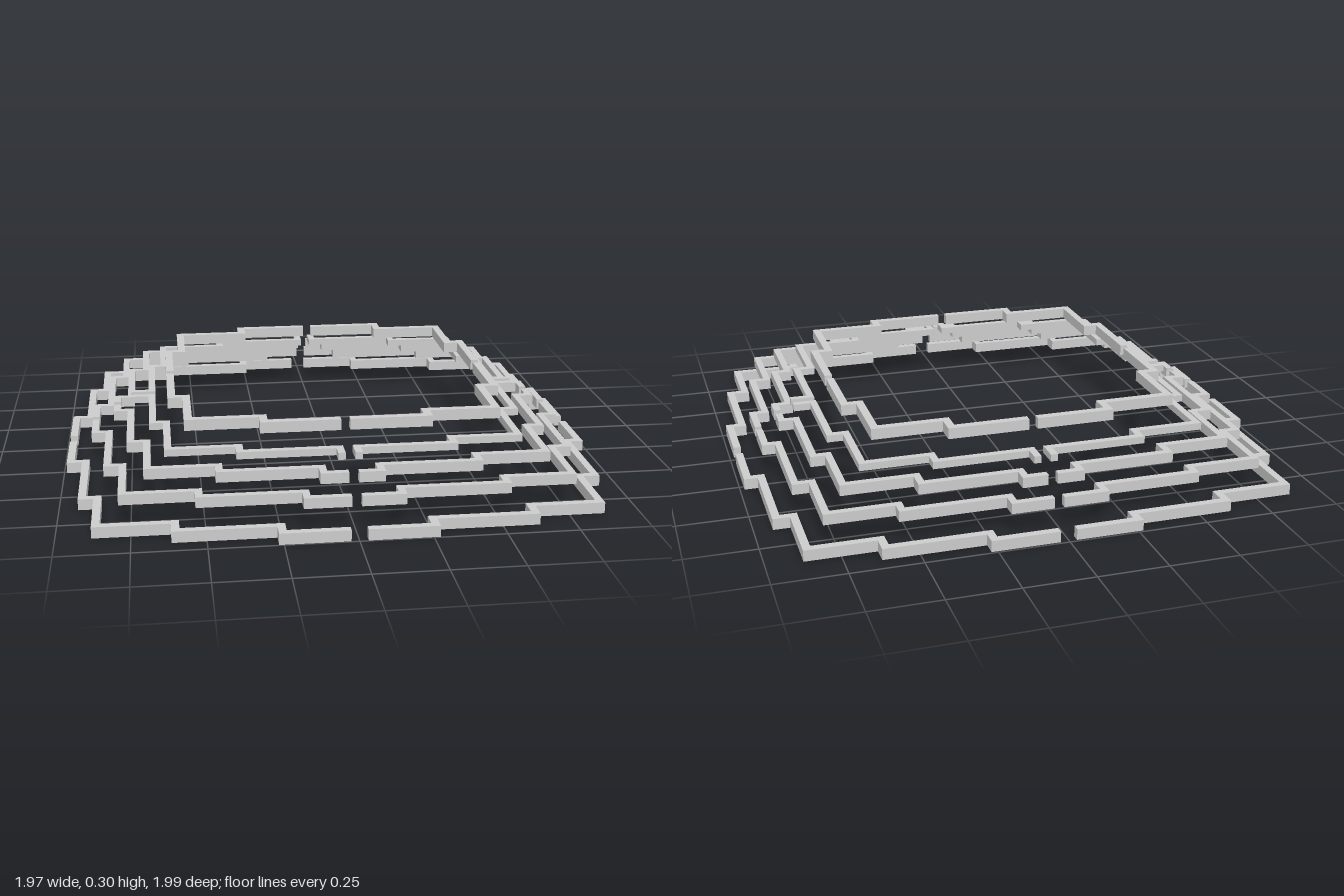
import * as THREE from 'three';

// Each tier is a square ring of stepped bars, split into four corner pieces.
// right/left list the step positions from the middle gap out to the side,
// front/back list them from the outer edge in to the side gap.
const TIERS = [
  { name: 'baseTier', y: 0, h: 0.04, w: 0.028,
    right: [0.03, 0.272, 0.628, 0.875, 0.935, 0.984],
    left: [0.027, 0.267, 0.617, 0.88, 0.934, 0.99],
    front: [0.997, 0.938, 0.87, 0.622, 0.26, 0.025],
    back: [0.993, 0.943, 0.88, 0.625, 0.275, 0.035] },
  { name: 'secondTier', y: 0.083, h: 0.038, w: 0.026,
    right: [0.022, 0.175, 0.548, 0.793, 0.852, 0.9],
    left: [0.012, 0.175, 0.533, 0.79, 0.845, 0.898],
    front: [0.903, 0.85, 0.795, 0.526, 0.168, 0.01],
    back: [0.906, 0.853, 0.805, 0.545, 0.175, 0.02] },
  { name: 'thirdTier', y: 0.14, h: 0.038, w: 0.026,
    right: [0.022, 0.114, 0.464, 0.718, 0.77, 0.824],
    left: [0.012, 0.11, 0.46, 0.703, 0.762, 0.814],
    front: [0.83, 0.774, 0.716, 0.446, 0.09, 0.012],
    back: [0.838, 0.785, 0.72, 0.458, 0.1, 0.02] },
  { name: 'fourthTier', y: 0.19, h: 0.026, w: 0.026,
    right: [0.022, 0.048, 0.392, 0.636, 0.694, 0.757],
    left: [0.012, 0.038, 0.384, 0.63, 0.68, 0.748],
    front: [0.74, 0.693, 0.637, 0.355, 0.038, 0.012],
    back: [0.762, 0.707, 0.65, 0.375, 0.046, 0.02] },
  { name: 'topTier', y: 0.257, h: 0.04, w: 0.029,
    right: [0.02, 0.314, 0.57, 0.625],
    left: [0.012, 0.296, 0.557, 0.61],
    front: [0.625, 0.568, 0.314, 0.012],
    back: [0.623, 0.552, 0.305, 0.02] },
];

// Stepped outline of one corner piece: outer edge, then the inset edge back
function cornerShape(xs, zs, sx, sz, w) {
  const outer = [];
  xs.forEach((x, i) => {
    if (i > 0) outer.push([x, zs[i - 1]]);
    outer.push([x, zs[i]]);
  });
  const last = outer.length - 1;
  const inner = outer.map(([x, z], i) => [i === 0 ? x : x - w, i === last ? z : z - w]);
  const outline = [...outer, ...inner.reverse()];
  return new THREE.Shape(outline.map(([x, z]) => new THREE.Vector2(x * sx, z * sz)));
}

export function createModel() {
  const model = new THREE.Group();
  model.name = 'steppedTiers';
  const material = new THREE.MeshStandardMaterial({ color: 0xcccccc, flatShading: true });

  for (const tier of TIERS) {
    const ring = new THREE.Group();
    ring.name = tier.name;
    for (const [xSide, sx] of [['left', 1], ['right', -1]]) {
      for (const [zSide, sz] of [['front', 1], ['back', -1]]) {
        // The model's own left is +x, which uses the "right" step list
        const xs = sx > 0 ? tier.right : tier.left;
        const shape = cornerShape(xs, tier[zSide], sx, sz, tier.w);
        const geometry = new THREE.ExtrudeGeometry(shape, { depth: tier.h, bevelEnabled: false });
        geometry.rotateX(Math.PI / 2).translate(0, tier.y + tier.h, 0);
        const piece = new THREE.Mesh(geometry, material);
        piece.name = `${zSide} ${xSide} corner wall`;
        ring.add(piece);
      }
    }
    model.add(ring);
  }
  return model;
}
